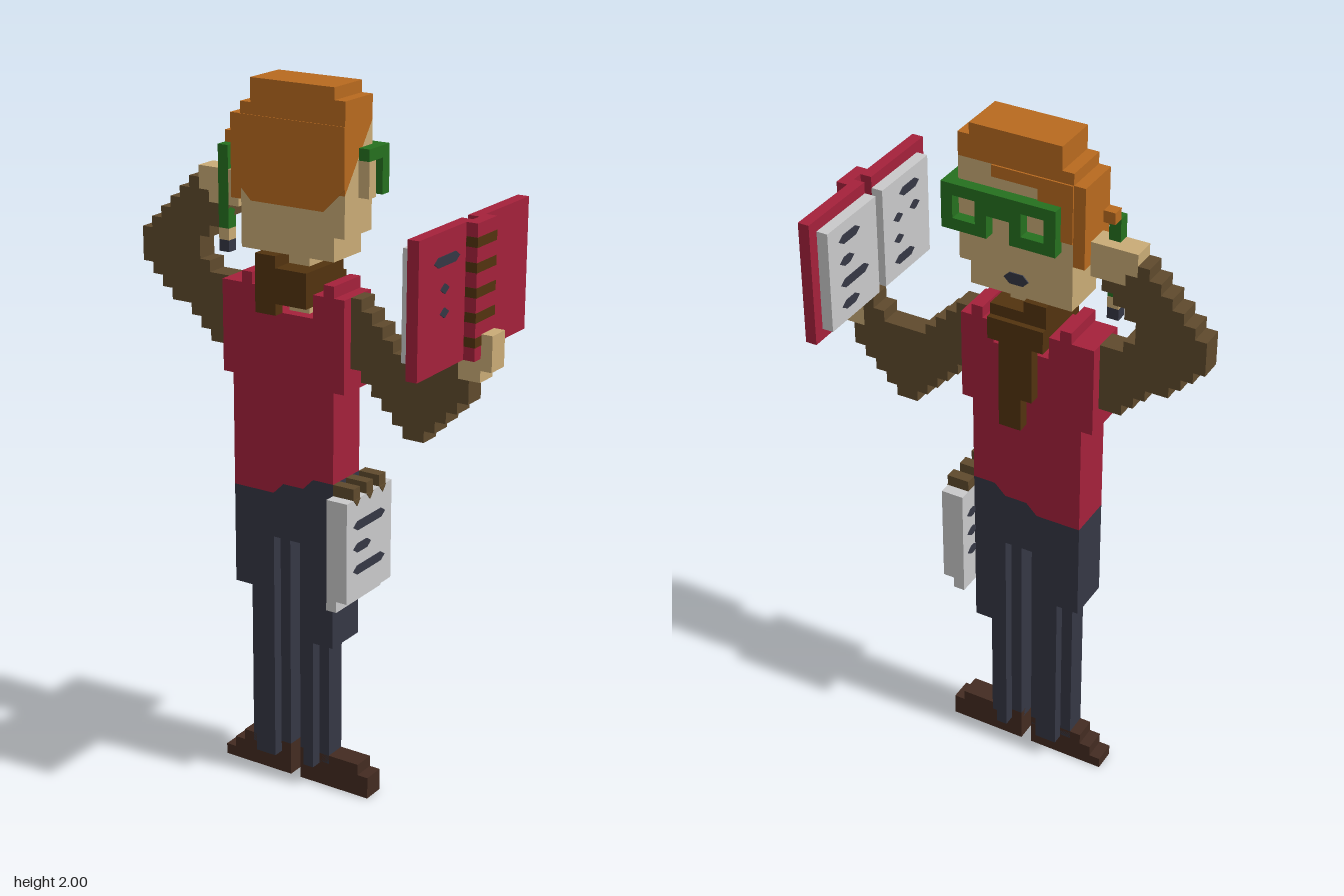
import * as THREE from 'three';

const V = 2 / 62; // one voxel; all positions below are in voxels

const mat = (name, color) => Object.assign(new THREE.MeshStandardMaterial({ color }), { name });
const M = {
  red: mat('crimson', 0xa4213b), hair: mat('ginger', 0xb86a1f), skin: mat('skin', 0xc9ab76),
  sleeve: mat('sleeveBrown', 0x5f4a2d), scarf: mat('darkBrown', 0x52330f), navy: mat('slate', 0x353744),
  shoe: mat('shoeBrown', 0x432b21), green: mat('green', 0x25701f), paper: mat('paper', 0xc9c9ca),
};

export function createModel() {
  const root = new THREE.Group();
  root.name = 'readingFigure';

  const part = (name, parent = root) => {
    const g = new THREE.Group();
    g.name = name;
    parent.add(g);
    return g;
  };
  const add = (parent, name, geo, m) => {
    const mesh = new THREE.Mesh(geo, m);
    mesh.name = name;
    parent.add(mesh);
  };
  const box = (parent, name, m, x0, x1, y0, y1, z0, z1) => {
    const geo = new THREE.BoxGeometry((x1 - x0) * V, (y1 - y0) * V, (z1 - z0) * V);
    geo.translate((x0 + x1) / 2 * V, (y0 + y1) / 2 * V, (z0 + z1) / 2 * V);
    add(parent, name, geo, m);
  };
  // stacked boxes: each row is [yBottom, yTop, xMin, xMax]
  const rows = (parent, name, m, z0, z1, list) =>
    list.forEach(([y0, y1, x0, x1]) => box(parent, name, m, x0, x1, y0, y1, z0, z1));
  const extrude = (pts, depth) => new THREE.ExtrudeGeometry(
    new THREE.Shape(pts.map(([a, b]) => new THREE.Vector2(a * V, b * V))),
    { depth: depth * V, bevelEnabled: false });
  // outline in x,y pushed along z
  const prismZ = (parent, name, m, z0, z1, pts) =>
    add(parent, name, extrude(pts, z1 - z0).translate(0, 0, z0 * V), m);
  // outline in z,y pushed along x
  const prismX = (parent, name, m, x0, x1, pts) =>
    add(parent, name, extrude(pts.map(([z, y]) => [-z, y]), x1 - x0)
      .rotateY(Math.PI / 2).translate(x0 * V, 0, 0), m);
  // pointed dash lying on a face that looks along x
  const dash = (parent, name, m, x, y, z0, z1, h = 0.4) =>
    prismX(parent, name, m, x - 0.08, x + 0.08, [[z0, y], [z0 + 0.6, y - h], [z1 - 0.6, y - h],
      [z1, y], [z1 - 0.6, y + h], [z0 + 0.6, y + h]]);

  // shoes
  const shoes = part('shoes');
  rows(shoes, 'rightShoe', M.shoe, -1.5, 0.5, [[0, 1, -9, -2], [1, 2, -8, -2], [2, 3, -7, -2]]);
  rows(shoes, 'leftShoe', M.shoe, -1.5, 0.5, [[0, 2, -1, 6], [2, 3, -1, 5]]);

  // trousers: shins are cross-shaped columns, thighs are blocks
  const trousers = part('trousers');
  box(trousers, 'rightShinSides', M.navy, -6, -2, 2.2, 23, -1.5, 0.5);
  box(trousers, 'rightShin', M.navy, -5, -3, 2, 23, -2.5, 1.5);
  box(trousers, 'rightThigh', M.navy, -7, -5, 18, 23, -2.5, 1.5);
  box(trousers, 'leftShinSides', M.navy, -1, 2, 2.2, 23, -1.5, 0.5);
  box(trousers, 'leftShin', M.navy, 0, 1, 2, 23, -2.5, 1.5);
  box(trousers, 'leftThigh', M.navy, 1, 3, 14, 23, -2.5, 1.5);
  const waist = [[3, 29], [1, 29], [0, 28], [-2, 28], [-3, 27], [-7, 27]];
  prismZ(trousers, 'hips', M.navy, -2.5, 1.5, [[-7, 23], [3, 23], ...waist]);

  // shirt
  const shirt = part('shirt');
  prismZ(shirt, 'torso', M.red, -2.5, 1.5, [...waist, [-7, 37], [-8, 37], [-8, 45], [-6, 45],
    [-6, 46], [-5, 46], [-5, 45], [-4, 45], [-4, 43], [1, 43], [1, 45], [2, 45], [2, 46],
    [3, 46], [3, 45], [4, 45], [4, 37], [3, 37]]);

  // neck, scarf and its hanging end
  box(root, 'neck', M.skin, -2, 0, 43, 48, -1.5, 0.5);
  const scarf = part('scarf');
  rows(scarf, 'scarfWrap', M.scarf, -3, 2.5, [[44, 47, -4, 1], [47, 48, -4, -2]]);
  box(scarf, 'scarfKnot', M.scarf, -4, -2, 43, 44, 1.5, 2.5);
  rows(scarf, 'scarfEnd', M.scarf, -3.5, -2.5,
    [[44, 46, -4, 1], [39, 44, -3, 0], [36, 39, -2, 0]]);

  // head
  const head = part('head');
  prismX(head, 'face', M.skin, -6, 4, [[-2.5, 50], [1.5, 50], [1.5, 53.5], [-2.5, 59]]);
  box(head, 'jaw', M.skin, -6, 3, 48, 50, -2.5, 1.5);
  box(head, 'leftEar', M.skin, 4, 5, 53, 56, -1.5, -0.5);
  prismZ(head, 'mouth', M.navy, -2.6, -2.5,
    [[-2.2, 49.5], [-1.7, 49], [-0.5, 49], [0, 49.5], [-0.5, 50], [-1.7, 50]]);

  // hair
  const hair = part('hair', head);
  prismX(hair, 'hairSides', M.hair, -6, 4, [[-2.5, 59], [1.5, 53.5], [1.5, 59]]);
  rows(hair, 'hairTop', M.hair, -2.5, 1.5,
    [[59, 60, -6, 4], [60, 61, -5, 4], [61, 62, -5, 3]]);
  box(hair, 'rightSideHair', M.hair, -7, -6, 52, 59, -2.5, 1.5);
  prismZ(hair, 'hairNape', M.hair, 1.5, 1.58,
    [[-6, 53], [-5, 52], [2, 52], [4, 54], [4, 59], [-6, 59]]);
  rows(hair, 'fringe', M.hair, -2.65, -2.5, [[58, 59, -6, 1], [57, 58, -6, -3], [54, 57, -6, -5]]);

  // glasses: two square rims, bridge and temple
  const glasses = part('glasses');
  for (const x of [-5, 1]) {
    rows(glasses, 'rim', M.green, -3.5, -2.5,
      [[56, 57, x, x + 4], [53, 54, x, x + 4], [54, 56, x, x + 1], [54, 56, x + 3, x + 4]]);
  }
  box(glasses, 'bridge', M.green, -1, 1, 55, 57, -3.5, -2.5);
  box(glasses, 'temple', M.green, 4, 5, 56, 57, -2.5, -0.5);

  // right arm, bent up to the ear
  const rightArm = part('rightArm');
  rows(rightArm, 'rightSleeve', M.sleeve, -1.5, 0.5, [
    [51, 52, -13, -10], [50, 51, -14, -8], [49, 50, -15, -9], [48, 49, -16, -10],
    [46, 48, -17, -11], [45, 46, -17, -10], [44, 45, -16, -8], [43, 44, -15, -8],
    [42, 43, -14, -8], [41, 42, -12, -8], [40, 41, -11, -8], [39, 40, -10, -8]]);
  box(rightArm, 'rightCuff', M.sleeve, -12, -11, 52, 53, -1.5, 0.5);
  rows(rightArm, 'rightHand', M.skin, -1.5, 0.5,
    [[52, 54, -11, -9], [51, 52, -10, -9], [51, 54, -8, -7]]);
  box(rightArm, 'rightFingers', M.skin, -9, -8, 51, 54, -1.5, -0.5);

  // pencil
  const pencil = part('pencil');
  box(pencil, 'pencilEraser', M.hair, -9, -8, 56, 57, -1.5, -0.5);
  box(pencil, 'pencilShaft', M.green, -9, -8, 49, 56, -0.5, 0.52);
  box(pencil, 'pencilWood', M.skin, -9, -8, 48, 49, -0.5, 0.5);
  box(pencil, 'pencilTip', M.navy, -9, -8, 47, 48, -0.5, 0.5);

  // left arm, reaching out to hold the book
  const leftArm = part('leftArm');
  rows(leftArm, 'leftSleeve', M.sleeve, -1.5, 0.5, [
    [44, 45, 4, 5], [43, 44, 4, 6], [42, 43, 4, 7], [41, 42, 4, 8], [40, 41, 4, 14],
    [39, 40, 4, 15], [38, 39, 5, 15], [37, 38, 6, 14], [36, 37, 7, 13], [35, 36, 8, 12],
    [34, 35, 9, 11], [41, 42, 12, 14], [42, 43, 13, 14]]);
  rows(leftArm, 'leftHand', M.skin, -1.5, 0.5,
    [[40, 41, 14, 16], [41, 42, 14, 17], [42, 44, 16, 17]]);

  // open book
  const book = part('book');
  for (const s of [-1, 1]) {
    const span = (a, b) => (s < 0 ? [-b, -a] : [a, b]);
    box(book, 'cover', M.red, 14, 15, 42, 53, ...span(0.5, 8.5));
    box(book, 'page', M.paper, 13, 14, 43, 52, ...span(0.5, 7.5));
  }
  box(book, 'spine', M.red, 15, 16, 42, 53, -1.5, 1.5);
  for (let y = 43; y < 53; y += 2) {
    box(book, 'spineBand', M.scarf, 15.02, 16.03, y + 0.1, y + 0.9, -1.52, 1.52);
  }
  [[50.7, 2.5, 6.3], [48.5, 4, 5.3], [46.6, 4, 5.3]].forEach(([y, a, b]) =>
    dash(book, 'coverMark', M.navy, 15, y, a, b));
  [[50.5, -6, -3], [48.5, -6, -4], [46.5, -6, -2], [44.5, -6, -3.5],
    [50.5, 3, 6], [48.5, 2, 3.4], [48.5, 4.5, 6], [46.5, 2, 3.4], [44.5, 2, 5]].forEach(([y, a, b]) =>
    dash(book, 'pageMark', M.navy, 13, y, a, b));

  // hanging notepad with clips
  const pad = part('notepad');
  box(pad, 'padSheets', M.paper, 3, 5, 19, 28, -4.5, 2.5);
  box(pad, 'padBack', M.paper, 3, 4, 18, 19, -4.5, 2.5);
  for (const z of [-3.5, -1.5, 0.5]) {
    box(pad, 'padClip', M.sleeve, 3, 5, 28, 29, z, z + 1);
    prismX(pad, 'clipPoint', M.sleeve, 5, 5.08, [[z, 28], [z + 0.5, 27.4], [z + 1, 28]]);
  }
  [[25.6, -3.4], [23.6, -1.2], [21.6, -3.4]].forEach(([y, a]) =>
    dash(pad, 'padMark', M.navy, 5, y, a, 1.5));
  for (const y of [25.6, 23.6, 21.6]) dash(pad, 'padInnerMark', M.navy, 3, y, -3.8, -2.2);

  return root;
}
